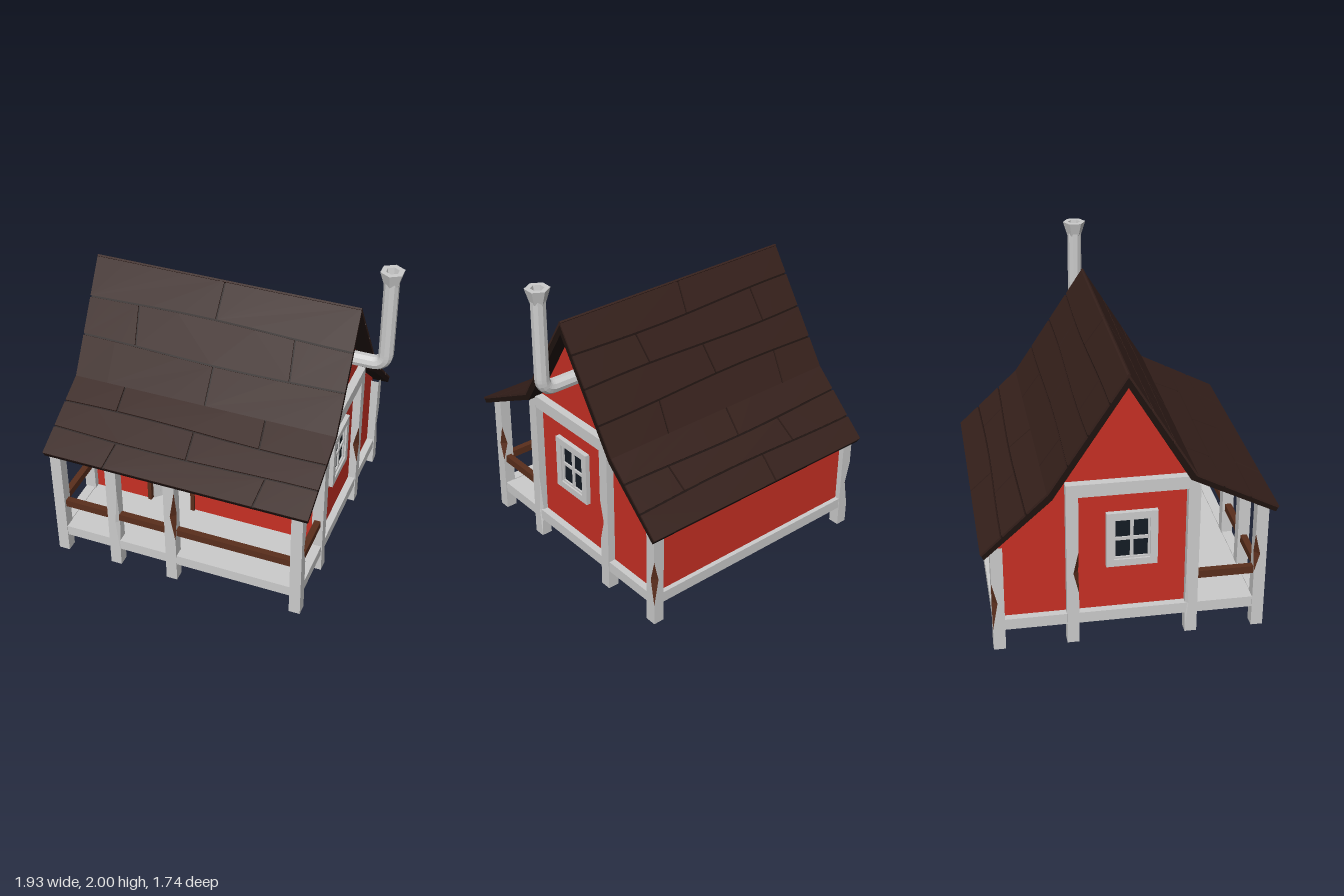
import * as THREE from 'three';

const mat = (color, side = THREE.FrontSide) =>
  new THREE.MeshStandardMaterial({ color, side, flatShading: true });
const GREY = mat(0xcccccc), RED = mat(0xc83024), BROWN = mat(0x5a2e1c);
const SHINGLE = mat(0x35201b), ROOF = mat(0x1e120f), GLASS = mat(0x141c24);
const PIPE = mat(0xcccccc, THREE.DoubleSide);

function add(parent, name, geometry, material) {
  const mesh = new THREE.Mesh(geometry, material);
  mesh.name = name;
  parent.add(mesh);
  return mesh;
}

// Box given by its minimum and maximum corners
function box(parent, name, material, [x0, y0, z0], [x1, y1, z1]) {
  const g = new THREE.BoxGeometry(x1 - x0, y1 - y0, z1 - z0);
  g.translate((x0 + x1) / 2, (y0 + y1) / 2, (z0 + z1) / 2);
  return add(parent, name, g, material);
}

const shapeOf = (pts) => new THREE.Shape(pts.map(([x, y]) => new THREE.Vector2(x, y)));

// Side profile of [z, y] points, extruded along x
function profile(pts, x0, x1) {
  const g = new THREE.ExtrudeGeometry(shapeOf(pts.map(([z, y]) => [-z, y])),
    { depth: x1 - x0, bevelEnabled: false });
  return g.rotateY(Math.PI / 2).translate(x0, 0, 0);
}

// Square post with a splintered notch on one corner; the ends stay open
function post(parent, name, x, z, height, [corner, y0, ym, y1, cut, chipMat]) {
  const h = 0.036, signs = [[1, 1], [1, -1], [-1, -1], [-1, 1]];
  const at = (k) => new THREE.Vector2(...signs[(corner + k) % 4]).multiplyScalar(h);
  const rings = [[0, 0], [y0, 0], [ym, cut], [y1, 0], [height, 0]].map(([y, c]) => {
    const p = [at(0).lerp(at(1), c), at(1), at(2), at(3), at(0).lerp(at(3), c)];
    return p.map((v) => [x + v.x, y, z + v.y]);
  });
  const build = (sides) => {
    const pos = [];
    for (let r = 0; r < 4; r++) for (const s of sides) {
      const t = (s + 1) % 5, [a, b] = [rings[r], rings[r + 1]];
      pos.push(...a[s], ...a[t], ...b[t], ...a[s], ...b[t], ...b[s]);
    }
    const g = new THREE.BufferGeometry();
    g.setAttribute('position', new THREE.Float32BufferAttribute(pos, 3));
    g.computeVertexNormals();
    return g;
  };
  const group = new THREE.Group();
  group.name = name;
  add(group, 'postBody', build([0, 1, 2, 3]), GREY);
  add(group, 'postChip', build([4]), chipMat);
  parent.add(group);
}

// Four-pane window, facing +z
function makeWindow(name) {
  const g = new THREE.Group();
  g.name = name;
  const frame = (n, w, h, t, depth) => {
    const s = shapeOf([[-w, -h], [w, -h], [w, h], [-w, h]]);
    s.holes.push(shapeOf([[-w + t, -h + t], [-w + t, h - t], [w - t, h - t], [w - t, -h + t]]));
    add(g, n, new THREE.ExtrudeGeometry(s, { depth, bevelEnabled: false }), GREY);
  };
  frame('windowFrame', 0.152, 0.178, 0.045, 0.03);
  frame('windowSash', 0.11, 0.136, 0.014, 0.018);
  box(g, 'glass', GLASS, [-0.1, -0.125, 0], [0.1, 0.125, 0.006]);
  box(g, 'uprightBar', GREY, [-0.01, -0.125, 0], [0.01, 0.125, 0.016]);
  box(g, 'crossBar', GREY, [-0.1, -0.01, 0], [0.1, 0.01, 0.016]);
  return g;
}

// Rows of uneven shingles on the slope from a (upper) to b (lower), as [z, y]
function shingles(parent, a, b, rows, seed) {
  const A = new THREE.Vector3(0, a[1], a[0]), B = new THREE.Vector3(0, b[1], b[0]);
  const length = A.distanceTo(B), up = A.clone().sub(B).normalize();
  const across = new THREE.Vector3(Math.sign(b[0] - a[0]), 0, 0);
  const normal = across.clone().cross(up);
  const basis = new THREE.Matrix4().makeBasis(across, up, normal)
    .setPosition(B.clone().addScaledVector(normal, -0.012));
  const L = -0.965, R = 0.74, gap = 0.006;
  const edge = (i, x) => length * (1 - i / rows.length) +
    (i > 0 && i < rows.length ? 0.01 * Math.sin(3.2 * x + 2.3 * i + seed) : 0);
  rows.forEach((joints, i) => {
    const cuts = [L, ...joints, R];
    for (let k = 0; k + 1 < cuts.length; k++) {
      const lean = (j) => (j > 0 && j < cuts.length - 1 ? 0.012 * Math.cos(i * 2 + j + seed) : 0);
      const g0 = k > 0 ? gap : 0, g1 = k + 2 < cuts.length ? gap : 0;
      const top = [], bottom = [];
      for (let n = 0; n <= 4; n++) {
        const at = (s) => THREE.MathUtils.lerp(cuts[k] + g0 + s * lean(k), cuts[k + 1] - g1 + s * lean(k + 1), n / 4);
        const xt = at(1), xb = at(-1);
        top.push([xt * across.x, edge(i, xt) - (i ? gap : 0)]);
        bottom.push([xb * across.x, edge(i + 1, xb) + (i + 1 < rows.length ? gap : 0)]);
      }
      const geo = new THREE.ExtrudeGeometry(shapeOf([...top, ...bottom.reverse()]), { depth: 0.012, bevelEnabled: false });
      add(parent, 'shingle', geo.applyMatrix4(basis), SHINGLE);
    }
  });
}

export function createModel() {
  const house = new THREE.Group();
  house.name = 'cabin';
  const XL = -0.915, XR = 0.66, wallL = -0.9, wallR = 0.645;

  // Floor and its edge beams
  box(house, 'floor', GREY, [-0.91, 0.135, -0.775], [0.655, 0.195, 0.785]);
  box(house, 'frontBeam', GREY, [XL, 0.13, 0.75], [XR, 0.2, 0.815]);
  box(house, 'backBeam', GREY, [XL, 0.13, -0.805], [XR, 0.2, -0.74]);

  // Walls
  const side = [[0.37, 0.15], [0.37, 1.03], [-0.02, 1.67], [-0.46, 0.99], [-0.775, 0.705], [-0.775, 0.15]];
  add(house, 'rightWall', profile(side, wallL, wallL + 0.02), RED);
  add(house, 'leftWall', profile(side, wallR - 0.02, wallR), RED);
  box(house, 'backWall', RED, [wallL, 0.15, -0.775], [wallR, 0.705, -0.755]);
  const front = shapeOf([[wallL, 0.15], [wallR, 0.15], [wallR, 1.04], [wallL, 1.04]]);
  front.holes.push(shapeOf([[-0.49, 0.19], [-0.49, 0.79], [-0.2, 0.79], [-0.2, 0.19]]));
  add(house, 'frontWall', new THREE.ExtrudeGeometry(front, { depth: 0.02, bevelEnabled: false }), RED)
    .position.z = 0.35;

  // Doorway with the door standing ajar
  box(house, 'doorJamb', BROWN, [-0.51, 0.195, 0.34], [-0.485, 0.805, 0.385]);
  box(house, 'doorJamb', BROWN, [-0.208, 0.195, 0.34], [-0.183, 0.805, 0.385]);
  box(house, 'doorLintel', BROWN, [-0.51, 0.78, 0.34], [-0.183, 0.805, 0.385]);
  const door = new THREE.Group();
  door.name = 'door';
  box(door, 'doorLeaf', GREY, [0, 0, -0.012], [0.265, 0.575, 0.012]);
  for (const [y0, y1] of [[0.04, 0.14], [0.17, 0.3], [0.33, 0.41], [0.44, 0.53]]) {
    box(door, 'doorPanelRim', GREY, [0.04, y0, -0.018], [0.225, y1, 0.018]);
    box(door, 'doorPanel', GREY, [0.06, y0 + 0.018, -0.025], [0.205, y1 - 0.018, 0.025]);
  }
  door.position.set(-0.483, 0.2, 0.355);
  door.rotation.y = 0.8;
  house.add(door);

  // Windows
  const windows = [['frontWindow', 0.25, 0.37, 0], ['leftWindow', wallR, 0.015, Math.PI / 2],
    ['rightWindow', wallL, 0.015, -Math.PI / 2]];
  for (const [name, x, z, turn] of windows) {
    const w = makeWindow(name);
    w.position.set(x, 0.667, z);
    w.rotation.y = turn;
    house.add(w);
  }

  // Posts, side beams and side rails, mirrored on both ends
  for (const [x, flip] of [[XR, false], [XL, true]]) {
    const c = (k) => (flip ? 3 - k : k);
    post(house, 'porchCornerPost', x, 0.783, 0.835, [c(1), 0.38, 0.5, 0.64, 0.45, BROWN]);
    post(house, 'frontWallPost', x, 0.373, 1.0, [c(1), 0.02, 0.2, 0.45, 0.25, GREY]);
    post(house, 'middlePost', x, -0.337, 1.0, [c(0), 0.34, 0.48, 0.63, 0.45, BROWN]);
    post(house, 'rearPost', x, -0.775, 0.695, [c(1), 0.14, 0.32, 0.46, 0.45, BROWN]);
    box(house, 'sideBeam', GREY, [x - 0.03, 0.13, -0.775], [x + 0.03, 0.2, 0.783]);
    box(house, 'topBeam', GREY, [x - 0.035, 0.98, -0.373], [x + 0.035, 1.06, 0.4]);
    box(house, 'sideRail', BROWN, [x - 0.02, 0.36, 0.4], [x + 0.02, 0.408, 0.76]);
  }
  post(house, 'porchPost', -0.543, 0.783, 0.835, [0, 0.1, 0.35, 0.6, 0.3, GREY]);
  post(house, 'porchPost', -0.157, 0.783, 0.835, [0, 0.33, 0.52, 0.72, 0.45, BROWN]);
  box(house, 'frontRail', BROWN, [XL, 0.36, 0.763], [XR, 0.408, 0.803]);

  // Roof: folded slab under rows of shingles
  const slab = [[0.868, 0.815], [0.38, 1.064], [-0.02, 1.712], [-0.476, 1.018], [-0.86, 0.656],
    [-0.845, 0.633], [-0.45, 0.985], [-0.02, 1.645], [0.345, 1.045], [0.855, 0.79]];
  add(house, 'roofSlab', profile(slab, -0.962, 0.737), ROOF);
  const ridge = [-0.02, 1.73], frontBend = [0.385, 1.075], backBend = [-0.48, 1.03];
  shingles(house, ridge, frontBend, [[-0.12], [-0.62, 0.39], [-0.09]], 0);
  shingles(house, frontBend, [0.873, 0.825], [[-0.62, 0.31], [-0.09], [-0.55, 0.41]], 1);
  shingles(house, ridge, backBend, [[-0.13], [-0.65, 0.27], [-0.16], [-0.64, 0.3]], 2);
  shingles(house, backBend, [-0.867, 0.667], [[-0.14], [-0.47, 0.41], [-0.22]], 3);

  // Stove pipe with a bend and a flared hexagonal cap
  const px = 0.897, py = 1.353, pz = -0.048, r = 0.085;
  const path = new THREE.CurvePath();
  const v = (x, y) => new THREE.Vector3(x, y, pz);
  path.add(new THREE.LineCurve3(v(0.62, py), v(px - r, py)));
  path.add(new THREE.QuadraticBezierCurve3(v(px - r, py), v(px, py), v(px, py + r)));
  path.add(new THREE.LineCurve3(v(px, py + r), v(px, 1.93)));
  add(house, 'stovePipe', new THREE.TubeGeometry(path, 40, 0.046, 10), PIPE);
  const cap = [[0.046, 1.91], [0.074, 2.0], [0.04, 2.0], [0.03, 1.94], [0, 1.94]]
    .map(([x, y]) => new THREE.Vector2(x, y));
  add(house, 'pipeCap', new THREE.LatheGeometry(cap, 6), PIPE).position.set(px, 0, pz);

  return house;
}
